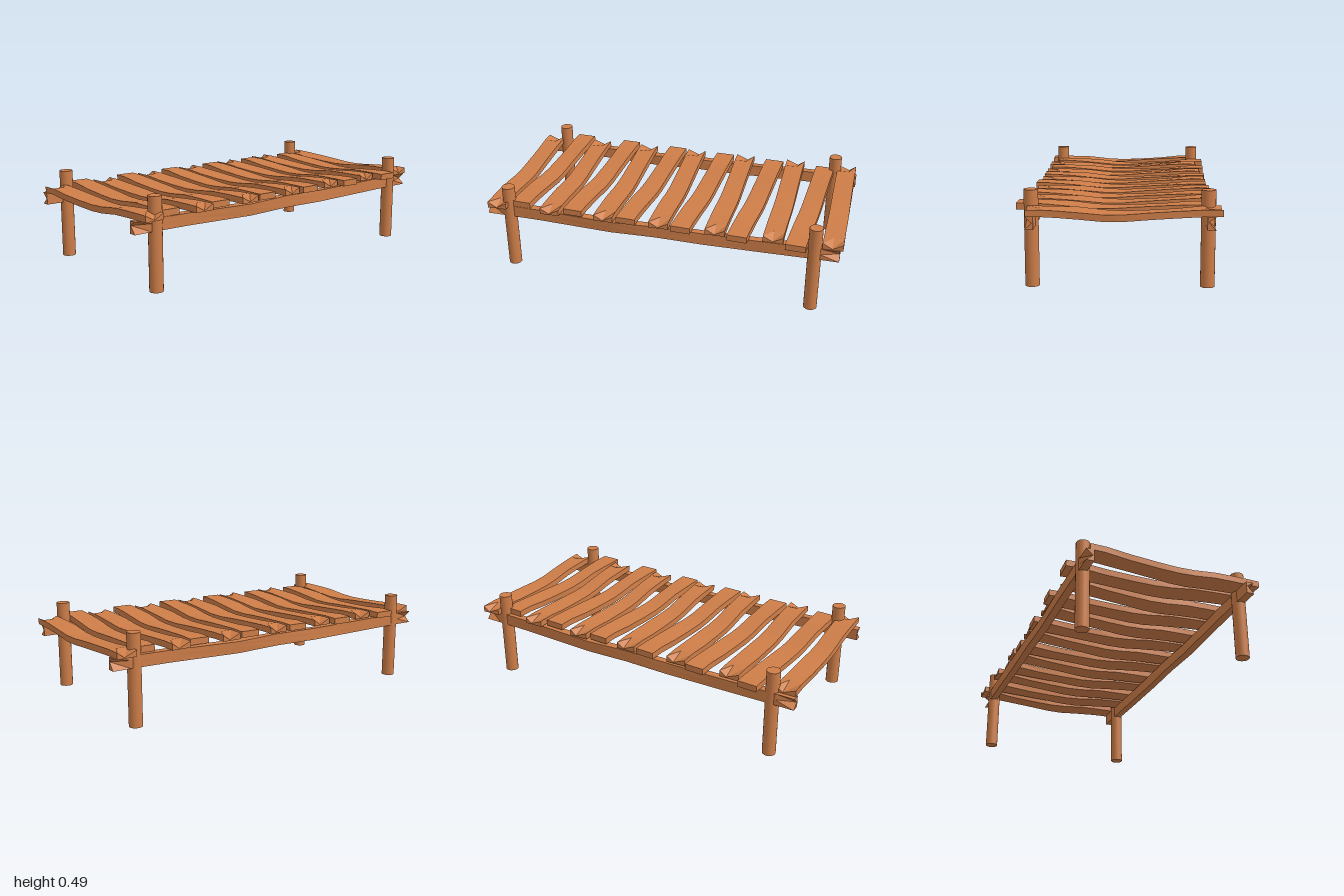
import * as THREE from 'three';

const wood = new THREE.MeshStandardMaterial({ color: 0xcd7d48 });
const woodFlat = new THREE.MeshStandardMaterial({ color: 0xcd7d48, flatShading: true });

// Warped board along z. Each station is [z / length, sideways shift, lift, roll].
// With split = true both ends have a V-shaped gouge cut into the top face.
function boardGeometry(length, width, thick, stations, split) {
  const rings = stations.map(([u, dx, dy, roll], i) => {
    const atEnd = i === 0 || i === stations.length - 1;
    const dip = split && atEnd ? thick * 0.85 : 0;
    const mid = u < 0 ? 0.14 : -0.02;
    const w = width / 2, t = thick / 2;
    const section = [[-w, -t], [w, -t], [w, t], [mid * width, t - dip], [-w, t]];
    return section.map(([x, y]) => [
      x * Math.cos(roll) - y * Math.sin(roll) + dx,
      x * Math.sin(roll) + y * Math.cos(roll) + dy,
      u * length,
    ]);
  });
  const pos = [];
  const tri = (a, b, c) => pos.push(...a, ...b, ...c);
  for (let i = 0; i < rings.length - 1; i++) {
    for (let j = 0; j < 5; j++) {
      const k = (j + 1) % 5;
      tri(rings[i][j], rings[i][k], rings[i + 1][k]);
      tri(rings[i][j], rings[i + 1][k], rings[i + 1][j]);
    }
  }
  // end caps, fanned from the gouge point
  const back = rings[0], front = rings[rings.length - 1];
  for (const [a, b] of [[4, 0], [0, 1], [1, 2]]) {
    tri(front[3], front[a], front[b]);
    tri(back[3], back[b], back[a]);
  }
  const g = new THREE.BufferGeometry();
  g.setAttribute('position', new THREE.Float32BufferAttribute(pos, 3));
  g.computeVertexNormals();
  return g;
}

export function createModel() {
  const model = new THREE.Group();

  // four round posts
  const postGeo = new THREE.CylinderGeometry(0.036, 0.036, 0.487, 20);
  for (const x of [-0.87, 0.85]) {
    for (const z of [-0.445, 0.425]) {
      const post = new THREE.Mesh(postGeo, wood);
      post.name = 'post';
      post.position.set(x, 0.2435, z);
      model.add(post);
    }
  }

  // two long side beams, the rear one turned half round
  const beamGeo = boardGeometry(1.98, 0.065, 0.042, [
    [-0.5, 0, 0, 0], [-0.45, 0, 0, 0], [-0.34, -0.002, 0, 0.03],
    [-0.13, -0.012, 0.004, 0.08], [0, -0.007, 0, 0], [0.13, -0.012, -0.003, -0.06],
    [0.3, -0.004, 0.002, 0], [0.45, 0, 0, 0], [0.5, 0, 0, 0],
  ], true);
  for (const side of [1, -1]) {
    const beam = new THREE.Mesh(beamGeo, woodFlat);
    beam.name = side > 0 ? 'frontBeam' : 'rearBeam';
    beam.applyMatrix4(new THREE.Matrix4().makeBasis(
      new THREE.Vector3(0, 1, 0),
      new THREE.Vector3(0, 0, side),
      new THREE.Vector3(side, 0, 0),
    ));
    beam.position.set(-0.01, 0.343, side > 0 ? 0.422 : -0.453);
    model.add(beam);
  }

  // sagging deck planks, alternately split and whole, fanned in opposite directions
  const sag = [
    [-0.5, 0, 0, 0], [-0.41, 0, 0, 0], [-0.27, 0, -0.01, 0.06],
    [-0.12, 0, -0.018, 0.05], [0, 0, -0.024, 0], [0.1, 0, -0.022, -0.05],
    [0.23, 0, -0.009, -0.08], [0.34, 0, -0.003, -0.03], [0.43, 0, 0, 0], [0.5, 0, 0, 0],
  ];
  const splitGeo = boardGeometry(0.945, 0.108, 0.034, sag, true);
  const wholeGeo = boardGeometry(0.955, 0.108, 0.034, sag, false);
  for (let i = 0; i < 13; i++) {
    const split = i % 2 === 0;
    const plank = new THREE.Mesh(split ? splitGeo : wholeGeo, woodFlat);
    const f = i / 6 - 1;
    plank.name = split ? 'splitPlank' : 'plank';
    plank.position.set(f * 0.93, 0.393, split ? -0.007 - 0.027 * f : -0.004 + 0.035 * f);
    plank.rotation.y = split ? 0.026 : -0.036;
    model.add(plank);
  }
  return model;
}
